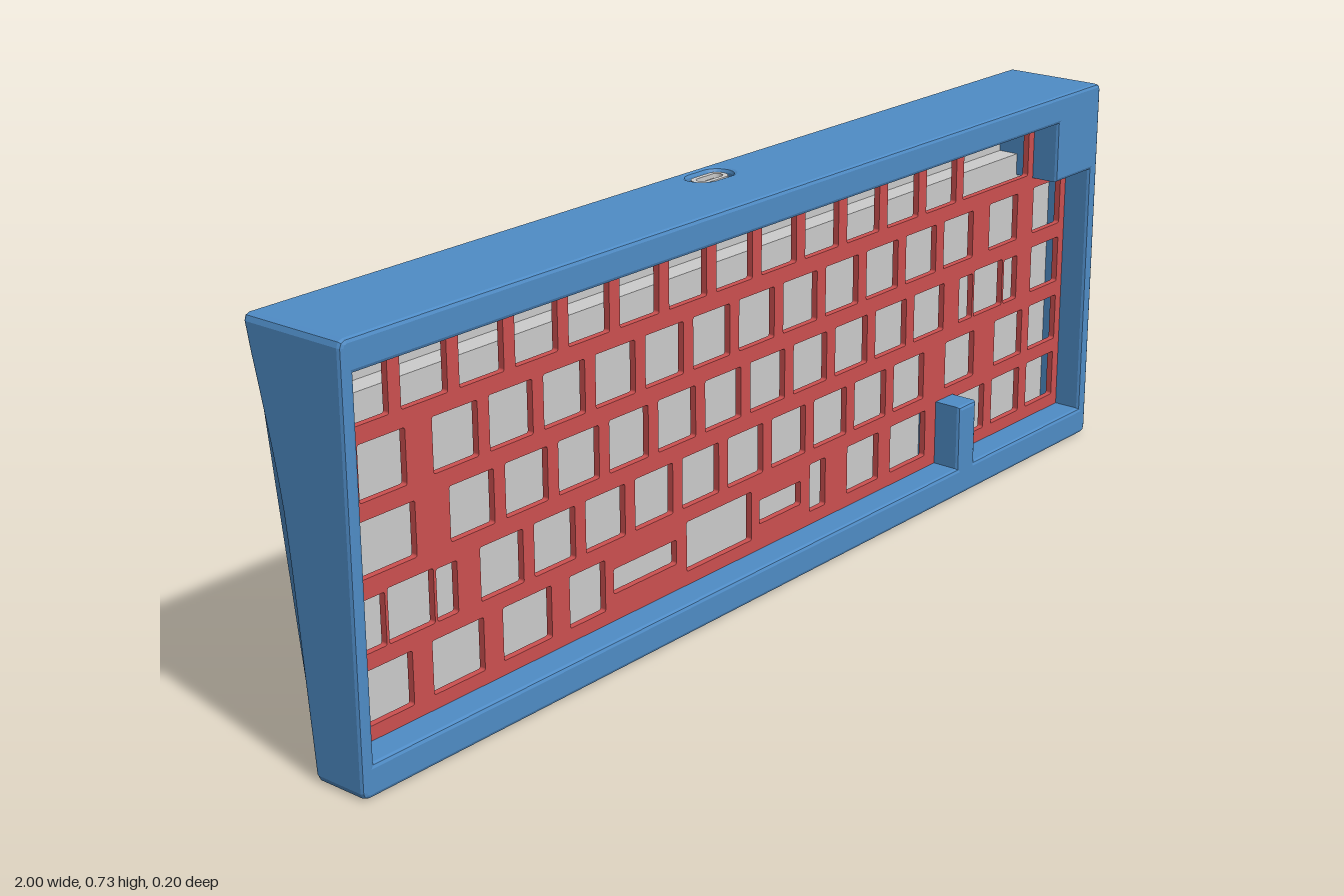
import * as THREE from 'three';

const H = 0.725, FRONT = 0.104, BEVEL = 0.007, UNIT = 0.1212, LEFT = -0.97;
const mat = (color) => new THREE.MeshStandardMaterial({ color, roughness: 0.7 });
const V = (x, y) => new THREE.Vector2(x, y);

// Concave back edge of the case: z as a function of height
const EDGE = [[0, 0], [0.1, -0.009], [0.2, -0.018], [0.35, -0.031], [0.43, -0.04], [0.5, -0.052], [0.6, -0.074], [0.7, -0.098], [0.73, -0.102]];
function backZ(y) {
  for (let i = 1; i < EDGE.length; i++) {
    const [y0, z0] = EDGE[i - 1], [y1, z1] = EDGE[i];
    if (y <= y1) return z0 + (z1 - z0) * (y - y0) / (y1 - y0);
  }
  return -0.102;
}

// Splits long upright edges so that they can follow the curved back
function densify(points) {
  const out = [];
  points.forEach((p, i) => {
    const a = V(...p), b = V(...points[(i + 1) % points.length]);
    const n = Math.max(1, Math.ceil(Math.abs(b.y - a.y) / 0.05));
    for (let k = 0; k < n; k++) out.push(a.clone().lerp(b, k / n));
  });
  return out;
}

// Moves front vertices to the front plane and back vertices onto the curved edge
function fitDepth(geo) {
  geo.computeBoundingBox();
  const { min, max } = geo.boundingBox, p = geo.attributes.position;
  for (let i = 0; i < p.count; i++) {
    const z = p.getZ(i);
    p.setZ(i, z > (min.z + max.z) / 2 ? FRONT - (max.z - z) : backZ(p.getY(i)) + (z - min.z));
  }
  geo.computeVertexNormals();
  return geo;
}

function roundRect(w, h, r, cx = 0, cy = 0, Type = THREE.Shape) {
  const s = new Type(), x = cx - w / 2, y = cy - h / 2;
  s.absarc(x + w - r, y + r, r, -Math.PI / 2, 0);
  s.absarc(x + w - r, y + h - r, r, 0, Math.PI / 2);
  s.absarc(x + r, y + h - r, r, Math.PI / 2, Math.PI);
  s.absarc(x + r, y + r, r, Math.PI, Math.PI * 1.5);
  s.closePath();
  return s;
}

const extrude = (shape, depth, bevel = 0) => new THREE.ExtrudeGeometry(shape, {
  depth, curveSegments: 8, bevelEnabled: bevel > 0, bevelSize: bevel, bevelThickness: bevel, bevelOffset: -bevel, bevelSegments: 2,
});

export function createModel() {
  const model = new THREE.Group();
  model.name = 'keyboardCase';
  const blue = mat(0x4f8cc6), red = mat(0xcc5050), grey = mat(0xcccccc), gold = mat(0xb8965a);
  const add = (name, geo, material, parent = model) => {
    const m = new THREE.Mesh(geo, material);
    m.name = name;
    parent.add(m);
    return m;
  };

  // Front opening, with the corner block and the blocker between the bottom keys
  const opening = [[-0.975, 0.67], [-0.975, 0.055], [0.545, 0.055], [0.545, 0.18], [0.6, 0.18], [0.6, 0.055],
    [0.975, 0.055], [0.975, 0.555], [0.855, 0.555], [0.855, 0.67]];

  // Case frame, left open at the top middle for the port block
  const gap = 0.058, r = 0.012, q = 0.0035;
  const frame = densify([[gap, H], [1 - r, H], [1 - q, H - q], [1, H - r], [1, r], [1 - q, q], [1 - r, 0],
    [-1 + r, 0], [-1 + q, q], [-1, r], [-1, H - r], [-1 + q, H - q], [-1 + r, H], [-gap, H],
    [-gap, 0.67], ...opening, [gap, 0.67]]);
  add('caseFrame', fitDepth(extrude(new THREE.Shape(frame), 0.2, BEVEL)), blue);

  // Port block with a slot through the top wall
  const block = new THREE.Shape([V(-0.08, -FRONT), V(0.08, -FRONT), V(0.08, 0.1), V(-0.08, 0.1)]);
  block.holes.push(roundRect(0.096, 0.056, 0.0279, 0, 0.057, THREE.Path));
  const blockGeo = extrude(block, H - 0.67 - 2 * BEVEL, BEVEL);
  blockGeo.rotateX(-Math.PI / 2).translate(0, 0.67 + BEVEL, 0);
  const bp = blockGeo.attributes.position;
  for (let i = 0; i < bp.count; i++) {
    if (bp.getZ(i) < -0.09) bp.setZ(i, bp.getZ(i) + 0.1 + backZ(bp.getY(i)));
  }
  blockGeo.computeVertexNormals();
  add('portBlock', blockGeo, blue);
  const socket = roundRect(0.078, 0.038, 0.0189);
  socket.holes.push(roundRect(0.06, 0.02, 0.0099, 0, 0, THREE.Path));
  add('portSocket', extrude(socket, 0.02).rotateX(-Math.PI / 2).translate(0, 0.7, -0.057), grey);

  // Key plate: one cutout per key, placed by key widths
  const plate = new THREE.Shape(opening.map((p) => V(...p)));
  const cut = (x, y, w = 0.096, h = 0.092) => plate.holes.push(roundRect(w, h, 0.004, x, y, THREE.Path));
  const ones = (n) => Array(n).fill(1);
  const rows = [
    [...ones(13), 2],
    [1.5, ...ones(12), 1.5, 1],
    [1.75, ...ones(11), 2.25, 1],
    [2.25, ...ones(10), 1.75, 1, 1],
  ];
  const rowY = (i) => 0.609 - i * UNIT;
  rows.forEach((row, i) => {
    let x = LEFT;
    for (const w of row) {
      const c = x + w * UNIT / 2;
      if (w === 2) cut(c, rowY(i), 0.22);
      else if (w === 1.75 && i === 2) cut(c - 0.016, rowY(i), 0.125);
      else cut(c, rowY(i));
      if (w === 2.25) for (const s of [-1, 1]) cut(c + s * 0.076, rowY(i) - 0.002, 0.045, 0.088);
      x += w * UNIT;
    }
  });
  // Bottom row: centre, width and height of each cutout
  const bottomRow = [[-0.89, 0.107], [-0.738, 0.112], [-0.583, 0.112], [-0.441, 0.086], [-0.297, 0.16, 0.045],
    [-0.102, 0.176], [0.067, 0.118, 0.045], [0.176, 0.046], [0.313, 0.096], [0.455, 0.112], [0.661], [0.784], [0.907]];
  for (const [x, w, h] of bottomRow) cut(x, 0.126, w, h);
  add('keyPlate', extrude(plate, 0.012).translate(0, 0, 0.036), red);

  // Bottom cover: flat floor, a deeper pocket behind the top row, sloping back
  const slope = 0.1 / 0.72;
  const cover = new THREE.Shape([[0.012, -0.012 * slope], [0.012, 0.01], [0.597, 0.01], [0.597, -0.03],
    [0.712, -0.03], [0.712, -0.712 * slope]].map(([y, z]) => V(-z, y)));
  add('bottomCover', extrude(cover, 1.95).rotateY(Math.PI / 2).translate(-0.975, 0, 0), grey);

  // Back fittings lie on the sloping face; local z points outwards
  const back = new THREE.Group();
  back.name = 'backFittings';
  const a = Math.atan(slope), c = Math.cos(a), s = Math.sin(a);
  back.quaternion.setFromRotationMatrix(new THREE.Matrix4().makeBasis(
    new THREE.Vector3(-1, 0, 0), new THREE.Vector3(0, c, -s), new THREE.Vector3(0, -s, -c)));
  model.add(back);

  const inlay = roundRect(1.5, 0.25, 0.025, 0, 0.388);
  for (const x of [-0.69, 0.69]) {
    inlay.holes.push(new THREE.Path().absarc(x, 0.395, 0.024, 0, Math.PI * 2));
    add('inlayScrew', new THREE.TorusGeometry(0.016, 0.004, 6, 20).translate(x, 0.395, 0), gold, back);
  }
  add('backInlay', extrude(inlay, 0.003, 0.001).translate(0, 0, 0), gold, back);

  // Cover screws along both long edges, and foot strips near the corners
  for (const y of [0.03, 0.7]) {
    for (const x of [-0.955, -0.22, 0.22, 0.955]) {
      add('coverScrew', new THREE.TorusGeometry(0.013, 0.003, 6, 18).translate(x, y, 0), grey, back);
    }
    for (const side of [-1, 1]) {
      const fy = y < 0.3 ? 0.07 : 0.66;
      add('footStrip', extrude(roundRect(0.3, 0.036, 0.0179, side * 0.77, fy), 0.002), grey, back);
    }
  }
  return model;
}
